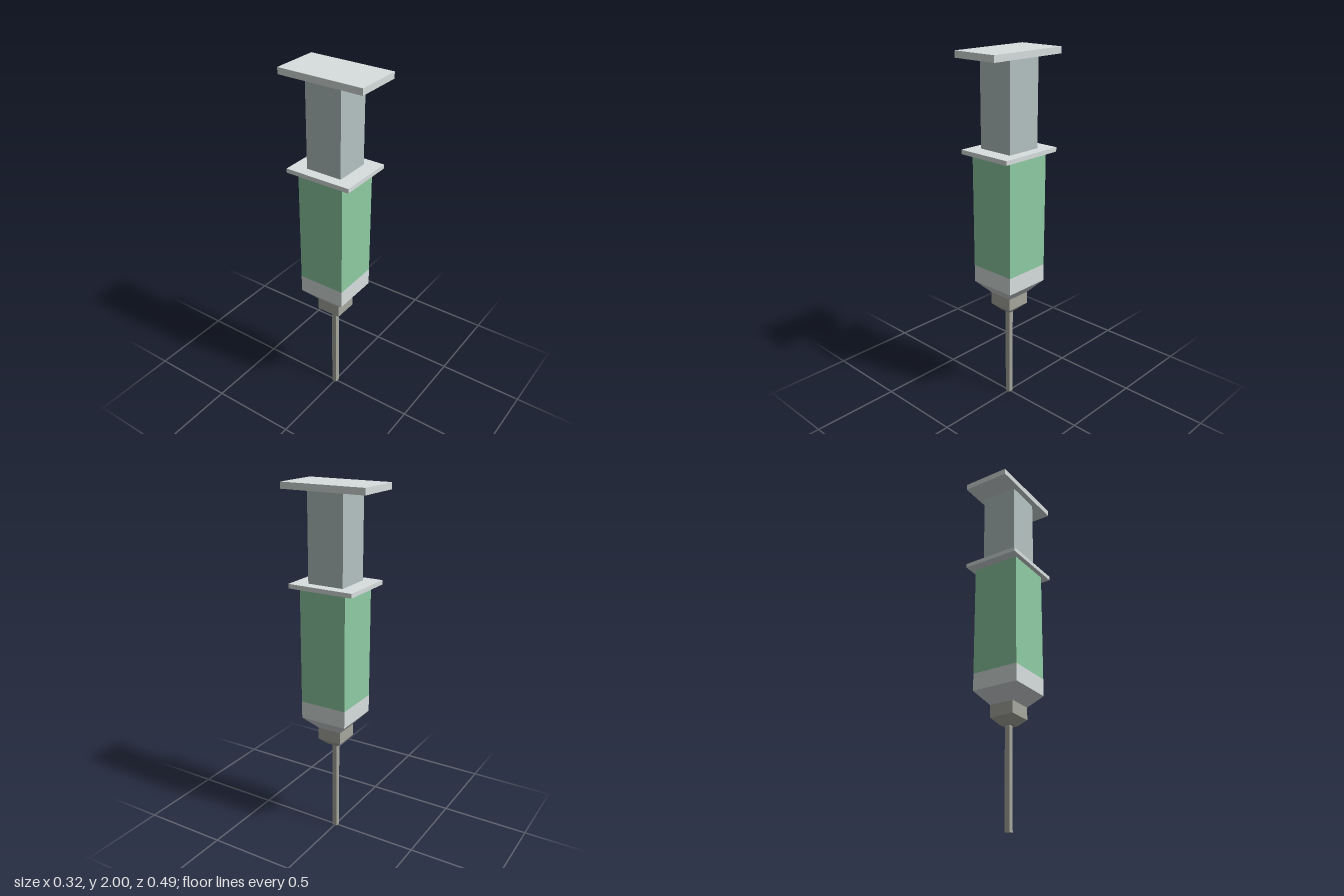
import * as THREE from 'three';

const material = (color) => new THREE.MeshStandardMaterial({ color, flatShading: true });

export function createModel() {
  const model = new THREE.Group();
  const clear = material(0xd8dfde);
  const plunger = material(0xb4c2c1);
  const liquid = material(0x8fcca3);
  const steel = material(0xa6a79e);
  const tip = material(0xcfd2d4);

  const add = (name, geometry, mat, y) => {
    const mesh = new THREE.Mesh(geometry, mat);
    mesh.name = name;
    mesh.position.y = y;
    model.add(mesh);
  };

  // Rectangular block between two heights, given half width and half depth
  const block = (name, mat, y0, y1, hx, hz = hx) =>
    add(name, new THREE.BoxGeometry(hx * 2, y1 - y0, hz * 2), mat, (y0 + y1) / 2);

  // Square taper between two heights, given bottom and top half widths
  const taper = (name, mat, y0, y1, bottom, top) => {
    const geometry = new THREE.CylinderGeometry(top * Math.SQRT2, bottom * Math.SQRT2, y1 - y0, 4);
    geometry.rotateY(Math.PI / 4);
    add(name, geometry, mat, (y0 + y1) / 2);
  };

  // Needle and its mount
  block('needle', steel, 0, 0.547, 0.0145);
  taper('needleTaper', steel, 0.547, 0.585, 0.033, 0.071);
  block('needleCollar', steel, 0.585, 0.655, 0.071);

  // Barrel, partly filled
  taper('barrelTaper', tip, 0.655, 0.727, 0.071, 0.136);
  block('barrelTip', clear, 0.727, 0.825, 0.136);
  block('liquidBarrel', liquid, 0.825, 1.466, 0.136);
  block('fingerFlange', clear, 1.466, 1.49, 0.162, 0.19);

  // Plunger and thumb plate
  block('plungerRod', plunger, 1.49, 1.965, 0.104);
  block('thumbPlate', clear, 1.965, 2, 0.135, 0.244);

  return model;
}
